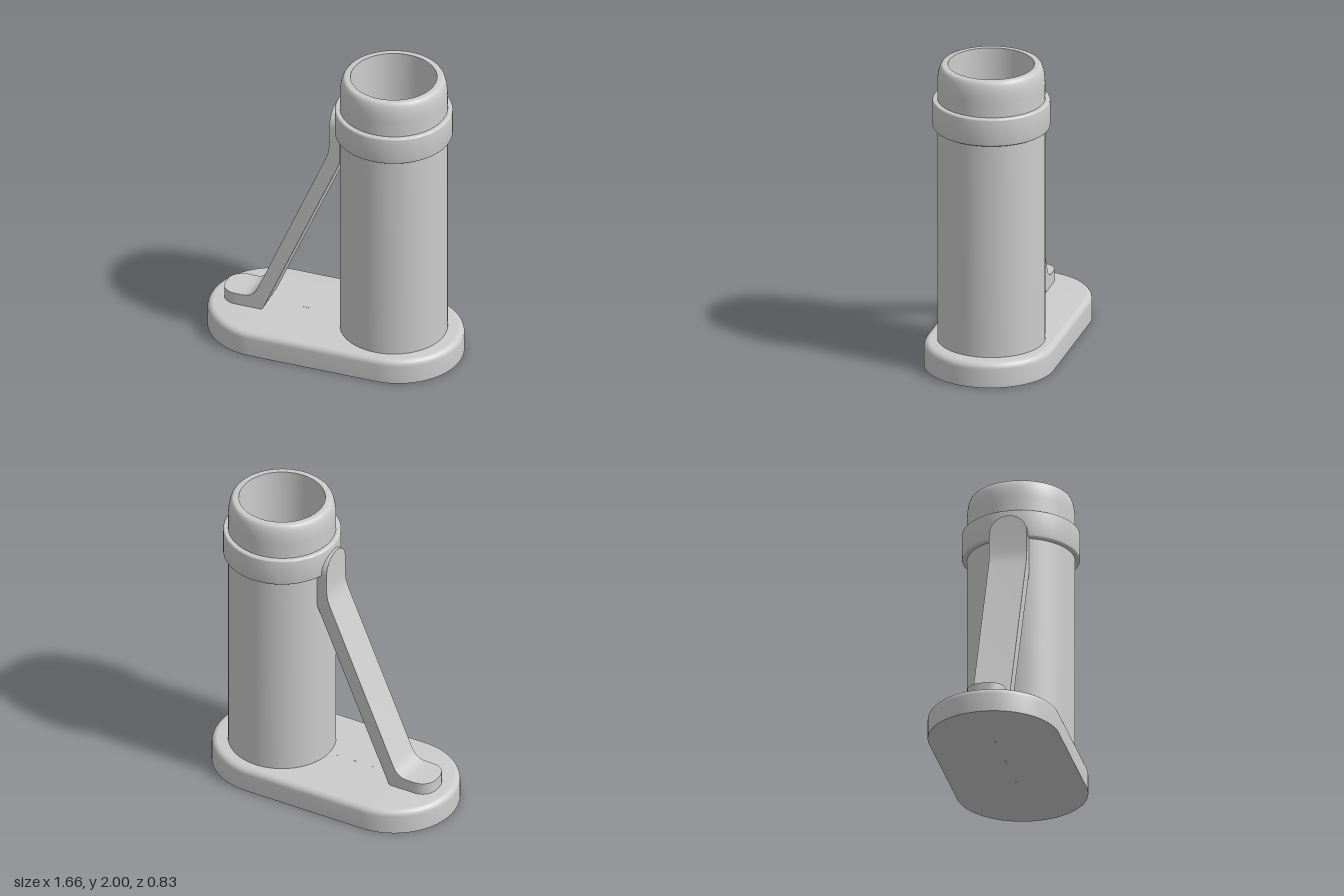
import * as THREE from 'three';
import { toCreasedNormals } from 'three/addons/utils/BufferGeometryUtils.js';

const material = new THREE.MeshStandardMaterial({ color: 0xcccccc });
const TUBE_X = 0.385;

function part(name, geometry, crease = 0.5) {
  const mesh = new THREE.Mesh(toCreasedNormals(geometry, crease), material);
  mesh.name = name;
  return mesh;
}

function lathe(points, segments = 96, start = 0) {
  return new THREE.LatheGeometry(points.map(([r, y]) => new THREE.Vector2(r, y)), segments, start);
}

// Quarter-round edge: from the side (r, y - h) up to the top (r - w, y)
function roundEdge(r, y, w, h, steps = 6) {
  return Array.from({ length: steps + 1 }, (_, i) => {
    const a = (i / steps) * Math.PI / 2;
    return [r - w + w * Math.cos(a), y - h + h * Math.sin(a)];
  });
}

// Stadium plate: a turned disc whose two halves are pulled apart along x
function baseGeometry() {
  const r = 0.413, h = 0.163, e = 1e-4;
  const geo = lathe([[e, 0], [r, 0], ...roundEdge(r, h, 0.04, 0.04), [e, h]], 96, Math.PI / 96);
  const pos = geo.attributes.position;
  for (let i = 0; i < pos.count; i++) {
    pos.setX(i, pos.getX(i) + Math.sign(pos.getX(i)) * (0.828 - r));
  }
  return geo;
}

// Bent strap: rectangular cross-sections [topX, topY, bottomX, bottomY, halfWidth]
function strutGeometry() {
  const w = 0.12, n = 12, rings = [];
  // rounded foot end
  for (let i = 0; i <= n; i++) {
    const a = (i / n) * Math.PI / 2;
    const x = -0.63 - 0.1 * Math.cos(a);
    rings.push([x, 0.242, x, 0.155, 0.02 + 0.1 * Math.sin(a)]);
  }
  // lower bend, sloped run, upper bend
  for (const s of [
    [-0.56, 0.242, -0.5, 0.155], [-0.53, 0.25, -0.465, 0.157], [-0.505, 0.268, -0.45, 0.165],
    [-0.488, 0.29, -0.438, 0.182], [-0.475, 0.317, -0.43, 0.2],
    [-0.022, 1.38, 0.066, 1.35], [-0.007, 1.425, 0.07, 1.375], [0, 1.48, 0.07, 1.48],
  ]) rings.push([...s, w]);
  // arched upper end
  for (let i = 0; i <= n; i++) {
    const a = (i / n) * Math.PI / 2, y = 1.605 + w * Math.sin(a);
    rings.push([0, y, 0.07, y, Math.max(w * Math.cos(a), 0.001)]);
  }
  const vertices = [], index = [];
  for (const [tx, ty, bx, by, h] of rings) {
    vertices.push(tx, ty, h, tx, ty, -h, bx, by, -h, bx, by, h);
  }
  for (let i = 0; i < rings.length - 1; i++) {
    for (let k = 0; k < 4; k++) {
      const a = i * 4 + k, b = i * 4 + (k + 1) % 4;
      index.push(a, a + 4, b + 4, a, b + 4, b);
    }
  }
  const e = (rings.length - 1) * 4;
  index.push(0, 1, 2, 0, 2, 3, e, e + 2, e + 1, e, e + 3, e + 2);
  const geo = new THREE.BufferGeometry();
  geo.setAttribute('position', new THREE.Float32BufferAttribute(vertices, 3));
  geo.setIndex(index);
  geo.computeVertexNormals();
  return geo;
}

export function createModel() {
  const model = new THREE.Group();
  model.name = 'tubeStand';

  model.add(part('base', baseGeometry()));

  // Tube with a rounded lip and a tapering blind bore
  const tube = part('tube', lathe([
    [0.337, 0.15], ...roundEdge(0.337, 2, 0.035, 0.13, 8),
    [0.27, 2], [0.227, 0.165], [0, 0.165],
  ]));
  tube.position.x = TUBE_X;
  model.add(tube);

  // Collar band with softened edges
  const collar = part('collar', lathe([
    [0.33, 1.586], ...roundEdge(0.368, -1.586, 0.012, 0.012, 4).reverse().map(([r, y]) => [r, -y]),
    ...roundEdge(0.368, 1.77, 0.012, 0.012, 4), [0.33, 1.77],
  ]));
  collar.position.x = TUBE_X;
  model.add(collar);

  model.add(part('strut', strutGeometry()));
  return model;
}
